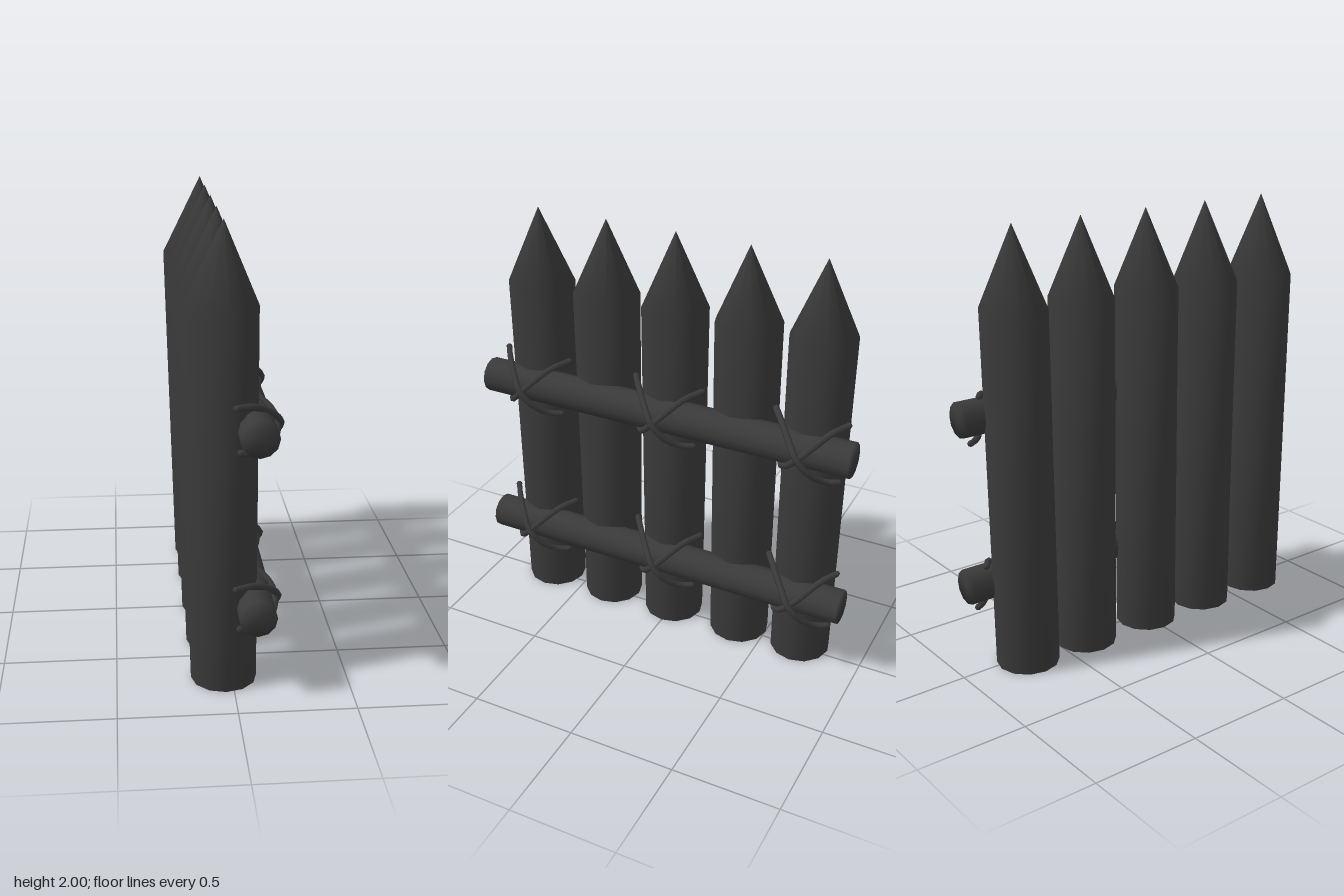
import * as THREE from 'three';

// Closed skin through stacked rings (counter-clockwise seen from above), capped at both ends.
// The upper end keeps one apex vertex per side so a point stays crisp.
function loft(rings, bottom, top) {
  const n = rings[0].length, pos = [], idx = [];
  rings.forEach(r => r.forEach(p => pos.push(...p)));
  for (let k = 0; k < rings.length - 1; k++) {
    for (let i = 0; i < n; i++) {
      const a = k * n + i, b = k * n + (i + 1) % n;
      idx.push(a, b, b + n, a, b + n, a + n);
    }
  }
  const low = rings.length * n, last = low - n;
  pos.push(...bottom);
  for (let i = 0; i < n; i++) {
    const j = (i + 1) % n;
    pos.push(...top);
    idx.push(low, j, i, last + i, last + j, low + 1 + i);
  }
  const g = new THREE.BufferGeometry();
  g.setAttribute('position', new THREE.Float32BufferAttribute(pos, 3));
  g.setIndex(idx);
  g.computeVertexNormals();
  return g;
}

const circle = (n, r, y, cx = 0, cz = 0) => Array.from({ length: n }, (_, i) => {
  const a = i / n * Math.PI * 2;
  return [cx + r * Math.cos(a), y, cz - r * Math.sin(a)];
});

export function createModel() {
  const group = new THREE.Group();
  const wood = new THREE.MeshStandardMaterial({ color: 0x3a3a3a });
  wood.name = 'charcoal wood';
  const add = (name, geometry) => {
    const m = new THREE.Mesh(geometry, wood);
    m.name = name;
    group.add(m);
    return m;
  };

  // Shoulder outline of a stake as x, z: a blunt teardrop
  const shoulder = [
    [0.105, 0.02], [0.09, -0.07], [0.04, -0.125], [-0.04, -0.148], [-0.13, -0.128], [-0.195, -0.07],
    [-0.222, -0.005], [-0.19, 0.06], [-0.11, 0.125], [-0.02, 0.147], [0.045, 0.125], [0.09, 0.08],
  ];

  // Stakes: round at the foot, wider at the shoulder, sharpened on top
  const stakes = [[0.683, 0.69, 0.686], [0.345, 0.348, 0.337], [0, 0, -0.005], [-0.36, -0.356, -0.355], [-0.683, -0.7, -0.7]];
  stakes.forEach(([foot, neck, tip], k) => {
    const base = circle(12, 0.143, 0, -0.035, foot);
    const upper = shoulder.map(([x, z]) => [x, 1.643 + 0.1 * (x + 0.05), neck + z]);
    add('stake' + (k + 1), loft([base, upper], [-0.035, 0, foot], [-0.037, 2, tip]));
  });

  // Lashings: two crossing strands over a rail, as offsets from the rail centre
  const strands = [
    [[0, 0.115, 0.18], [0.07, 0.105, 0.13], [0.15, 0.06, 0.06], [0.2, 0, 0], [0.18, -0.07, -0.06], [0.13, -0.115, -0.11], [0.1, -0.12, -0.16]],
    [[0.01, 0.115, -0.16], [0.08, 0.1, -0.11], [0.16, 0.05, -0.05], [0.185, 0, 0], [0.165, -0.06, 0.06], [0.1, -0.095, 0.11], [0.02, -0.085, 0.14]],
  ];

  [0.383, 1.165].forEach((y, level) => {
    const side = level ? 'upper' : 'lower';
    const rail = add(side + 'Rail', loft(
      [circle(12, 0.081, -0.913), circle(12, 0.081, 0.913)], [0, -0.913, 0], [0, 0.913, 0]));
    rail.rotation.x = Math.PI / 2;
    rail.position.set(0.09, y, 0);

    [0.69, 0, -0.695].forEach((z, k) => {
      strands.forEach((pts, s) => {
        const path = new THREE.CatmullRomCurve3(pts.map(([px, py, pz]) => new THREE.Vector3(px, py, pz)));
        const name = side + 'Lashing' + (k + 1) + 'Strand' + (s + 1);
        add(name, new THREE.TubeGeometry(path, 16, 0.015, 6)).position.set(0, y, z);
        // Rounded strand ends
        [pts[0], pts[pts.length - 1]].forEach(([px, py, pz]) => {
          add(name + 'End', new THREE.SphereGeometry(0.015, 6, 4)).position.set(px, y + py, z + pz);
        });
      });
    });
  });

  return group;
}
